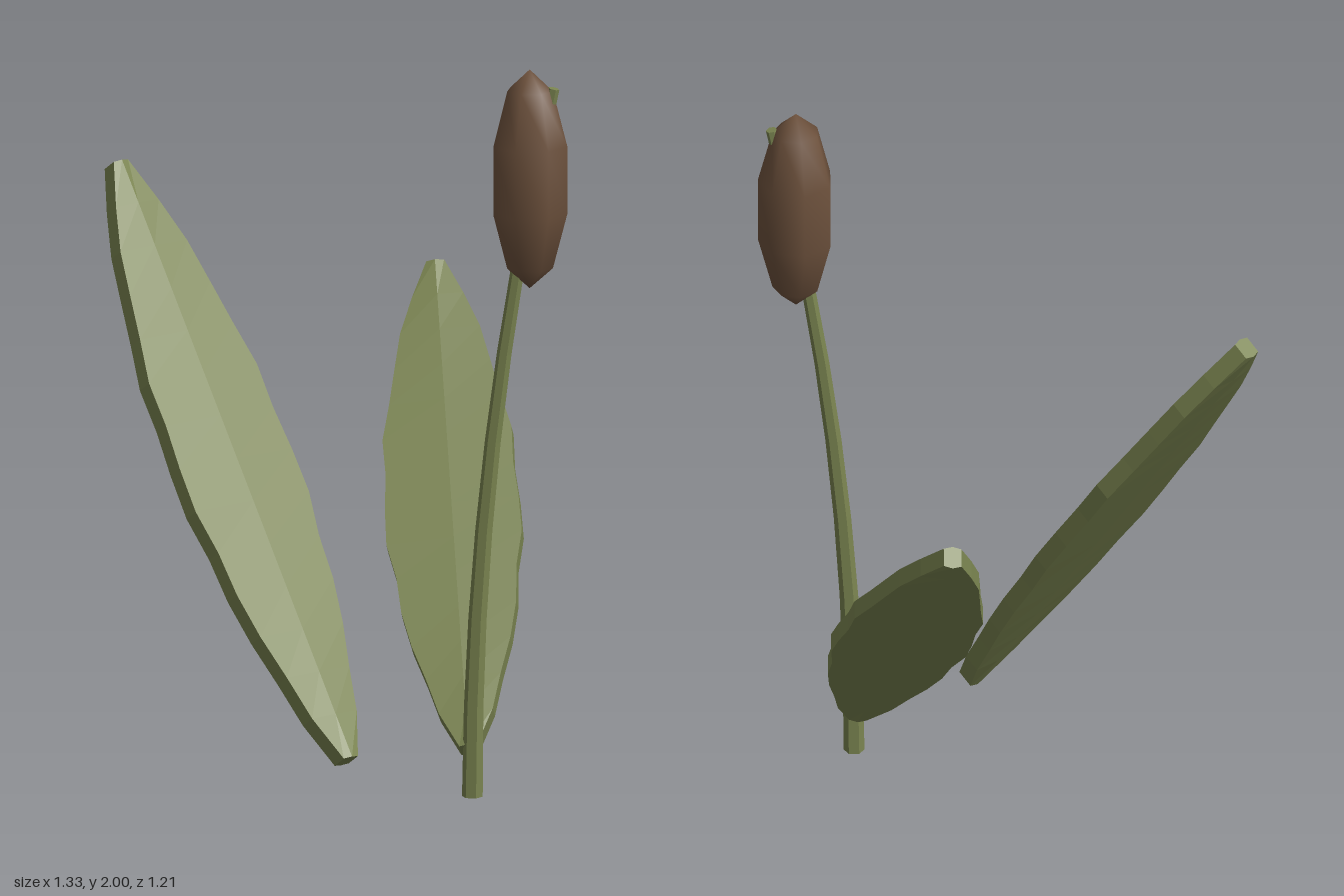
import * as THREE from 'three';

const V = (x, y, z) => new THREE.Vector3(x, y, z);

// Faceted skin over a list of rings (each counterclockwise about the path), with end caps
function loft(rings) {
  const pos = [];
  const tri = (...pts) => pts.forEach((p) => pos.push(p.x, p.y, p.z));
  const n = rings[0].length;
  for (let i = 0; i < rings.length - 1; i++) {
    for (let j = 0; j < n; j++) {
      const k = (j + 1) % n;
      const a = rings[i][j], b = rings[i][k], c = rings[i + 1][k], d = rings[i + 1][j];
      tri(a, b, c);
      tri(a, c, d);
    }
  }
  const first = rings[0], last = rings[rings.length - 1];
  for (let j = 1; j < n - 1; j++) {
    tri(first[0], first[j + 1], first[j]);
    tri(last[0], last[j], last[j + 1]);
  }
  const geo = new THREE.BufferGeometry();
  geo.setAttribute('position', new THREE.Float32BufferAttribute(pos, 3));
  geo.computeVertexNormals();
  return geo;
}

// Places a flat section, given as [x, y] pairs, across a path
function ring(center, axis, sideHint, section) {
  const u = sideHint.clone().addScaledVector(axis, -sideHint.dot(axis)).normalize();
  const v = axis.clone().cross(u);
  return section.map(([x, y]) => center.clone().addScaledVector(u, x).addScaledVector(v, y));
}

// Thick blade with wavy edges and a shallow ridge on both faces
function leafGeometry(base, tip, side, halfWidth) {
  const axis = tip.clone().sub(base).normalize();
  const segments = 14, t = 0.024, ridge = 0.03;
  const rings = [];
  for (let i = 0; i <= segments; i++) {
    const s = i / segments;
    const swell = Math.pow(Math.max(0, Math.sin(Math.PI * s)), 0.8);
    const wave = 0.007 * Math.sin(s * Math.PI * 10) * swell;
    const w = 0.024 + (halfWidth - 0.024) * swell + wave;
    rings.push(ring(base.clone().lerp(tip, s), axis, side,
      [[w, -t], [w, t], [0, ridge], [-w, t], [-w, -t], [0, -ridge]]));
  }
  return loft(rings);
}

// Six-sided stalk, bending toward +x and tapering upward
function stemGeometry() {
  const segments = 8, sides = 6, top = 1.95;
  const rings = [];
  for (let i = 0; i <= segments; i++) {
    const y = (top * i) / segments;
    const r = 0.028 - (0.013 * i) / segments;
    const axis = V(0.116 * y, 1, 0).normalize();
    const section = [];
    for (let j = 0; j < sides; j++) {
      const a = (j / sides) * Math.PI * 2;
      section.push([Math.cos(a) * r, Math.sin(a) * r]);
    }
    rings.push(ring(V(0.405 + 0.058 * y * y, y, 0.405), axis, V(1, 0, 0), section));
  }
  return loft(rings);
}

export function createModel() {
  const green = new THREE.MeshStandardMaterial({ color: 0x7a8450 });
  green.name = 'olive green';
  const brown = new THREE.MeshStandardMaterial({ color: 0x6e523d });
  brown.name = 'seed brown';

  const model = new THREE.Group();
  model.name = 'reedPlant';
  const add = (name, geo, mat) => {
    const mesh = new THREE.Mesh(geo, mat);
    mesh.name = name;
    model.add(mesh);
    return mesh;
  };

  add('stem', stemGeometry(), green);

  // Seed head: upright, seven-sided, stretched sphere
  const head = new THREE.SphereGeometry(1, 7, 5);
  head.rotateY(Math.PI);
  head.scale(0.107, 0.3, 0.101);
  add('seedHead', head, brown).position.set(0.56, 1.7, 0.405);

  // Two leaning leaves
  add('longLeaf', leafGeometry(
    V(0.092, 0.125, 0.575), V(-0.64, 1.575, -0.1), V(0.677, 0, -0.735), 0.19), green);
  add('shortLeaf', leafGeometry(
    V(0.395, 0.125, 0.395), V(0.147, 1.217, -0.578), V(0.987, 0.12, -0.11), 0.18), green);

  return model;
}
